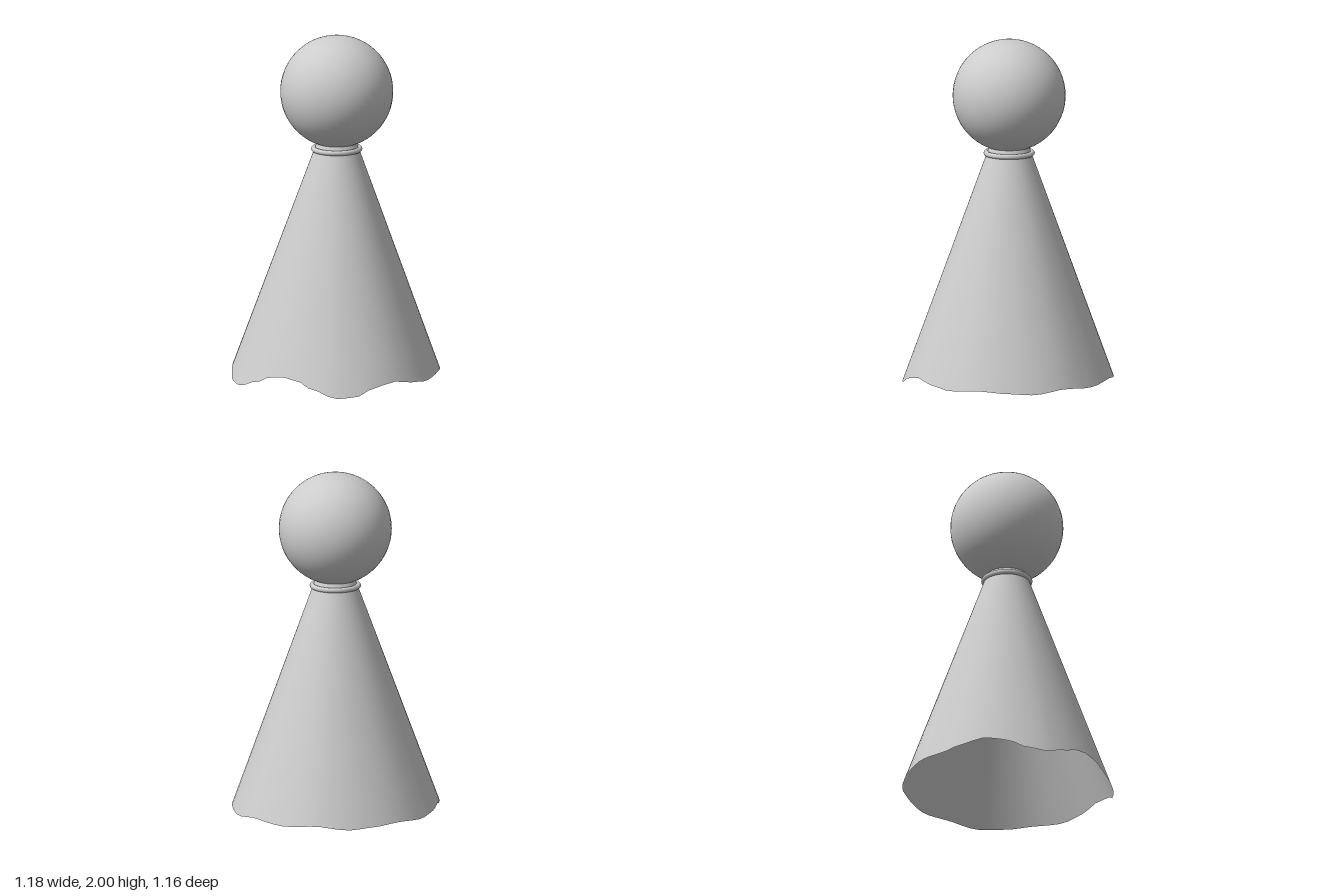
import * as THREE from 'three';

// Hem of the skirt from front (0 deg) to back (180 deg): angle, height, radius
const HEM = [
  [0, 0.1, 0.557], [10, 0.085, 0.565], [20, 0.045, 0.585], [33, 0.003, 0.613], [43, 0.012, 0.613], [55, 0.06, 0.601],
  [67, 0.08, 0.594], [80, 0.058, 0.595], [92, 0.042, 0.592], [112, 0.055, 0.59], [128, 0.045, 0.593],
  [142, 0.037, 0.6], [160, 0.057, 0.598], [180, 0.042, 0.597],
];

// Smoothly interpolated hem height and radius at an angle
function hemAt(deg) {
  let i = 0;
  while (i < HEM.length - 2 && deg > HEM[i + 1][0]) i++;
  const [a, b] = [HEM[i], HEM[i + 1]];
  const t = THREE.MathUtils.smoothstep(deg, a[0], b[0]);
  return [1, 2].map((k) => THREE.MathUtils.lerp(a[k], b[k], t));
}

export function createModel() {
  const model = new THREE.Group();
  model.name = 'robedFigure';
  const grey = new THREE.MeshStandardMaterial({ color: 0xcccccc, side: THREE.DoubleSide });
  grey.name = 'light grey';

  const add = (name, geometry, y) => {
    const mesh = new THREE.Mesh(geometry, grey);
    mesh.name = name;
    mesh.position.set(0, y, 0.018);
    model.add(mesh);
    return mesh;
  };

  // Head
  add('head', new THREE.SphereGeometry(0.324, 48, 32), 1.676);

  // Collar ring
  add('collar', new THREE.TorusGeometry(0.132, 0.015, 12, 48).rotateX(Math.PI / 2), 1.34);

  // Open conical robe, its lower edge pulled to the wavy hem
  const robe = new THREE.CylinderGeometry(1, 1, 2, 64, 8, true);
  const p = robe.attributes.position;
  for (let i = 0; i < p.count; i++) {
    const angle = Math.atan2(p.getX(i), p.getZ(i));
    const [hemY, hemR] = hemAt(Math.abs(THREE.MathUtils.radToDeg(angle)));
    const t = (p.getY(i) + 1) / 2;
    const r = THREE.MathUtils.lerp(hemR, 0.113, t);
    p.setXYZ(i, Math.sin(angle) * r, THREE.MathUtils.lerp(hemY, 1.38, t), Math.cos(angle) * r);
  }
  robe.computeVertexNormals();
  // Close the shading seam at the front
  const n = robe.attributes.normal;
  for (let i = 0; i < p.count; i++) {
    if (Math.abs(p.getX(i)) < 1e-6) n.setX(i, 0);
  }
  robe.normalizeNormals();
  add('robe', robe, 0);

  return model;
}
